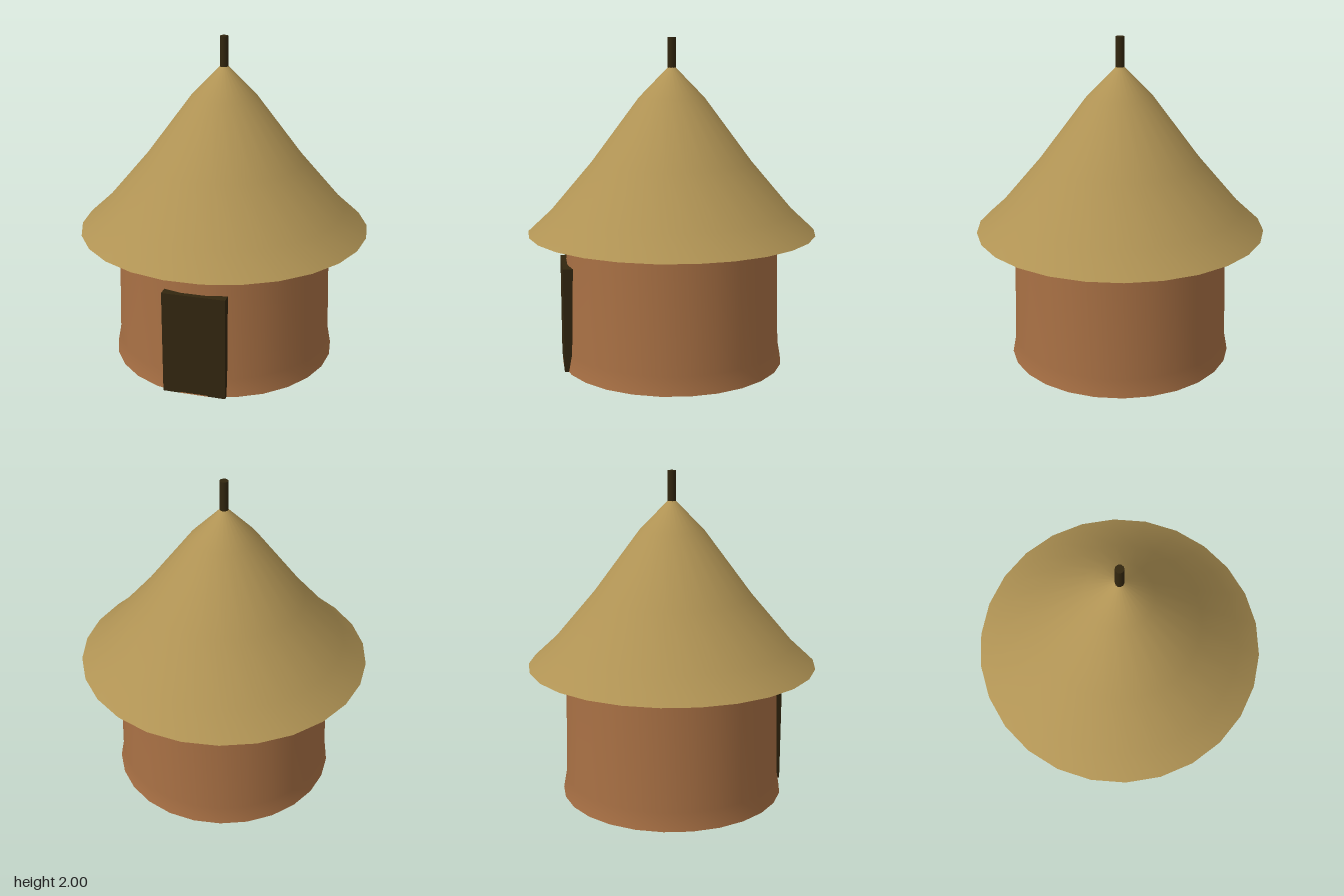
import * as THREE from 'three';

const SIDES = 26;

function mat(name, color) {
  const m = new THREE.MeshStandardMaterial({ color });
  m.name = name;
  return m;
}

export function createModel() {
  const hut = new THREE.Group();
  hut.name = 'hut';
  const clay = mat('clay', 0xa87044);
  const thatch = mat('thatch', 0xb09354);
  const darkWood = mat('darkWood', 0x32260f);

  const add = (name, geometry, material) => {
    const mesh = new THREE.Mesh(geometry, material);
    mesh.name = name;
    hut.add(mesh);
    return mesh;
  };

  // Turned surface with a corner on the x axis
  const turned = (profile) =>
    new THREE.LatheGeometry(profile.map(([r, y]) => new THREE.Vector2(r, y)), SIDES).rotateY(Math.PI / 2);

  // Flat disc facing down
  const underside = (radius, y) =>
    new THREE.CircleGeometry(radius, SIDES).rotateX(Math.PI / 2).translate(0, y, 0);

  // Clay wall, flared at the foot
  add('wall', turned([[0.69, 0], [0.67, 0.11], [0.652, 0.82]]), clay);
  add('floor', underside(0.69, 0), clay);

  // Thatched roof, flaring towards the eaves
  add('roof', turned([[0.885, 0.82], [0.74, 0.955], [0.49, 1.25], [0.2, 1.64], [0.02, 1.825], [0, 1.83]]), thatch);
  add('roofUnderside', underside(0.885, 0.82), thatch);

  // Pole at the peak
  add('roofPole', new THREE.CylinderGeometry(0.026, 0.026, 0.24, 10).translate(0, 1.88, 0), darkWood);

  // Door slab set into the wall
  add('door', new THREE.BoxGeometry(0.38, 0.64, 0.06).translate(0, 0.32, 0.654), darkWood);

  return hut;
}
